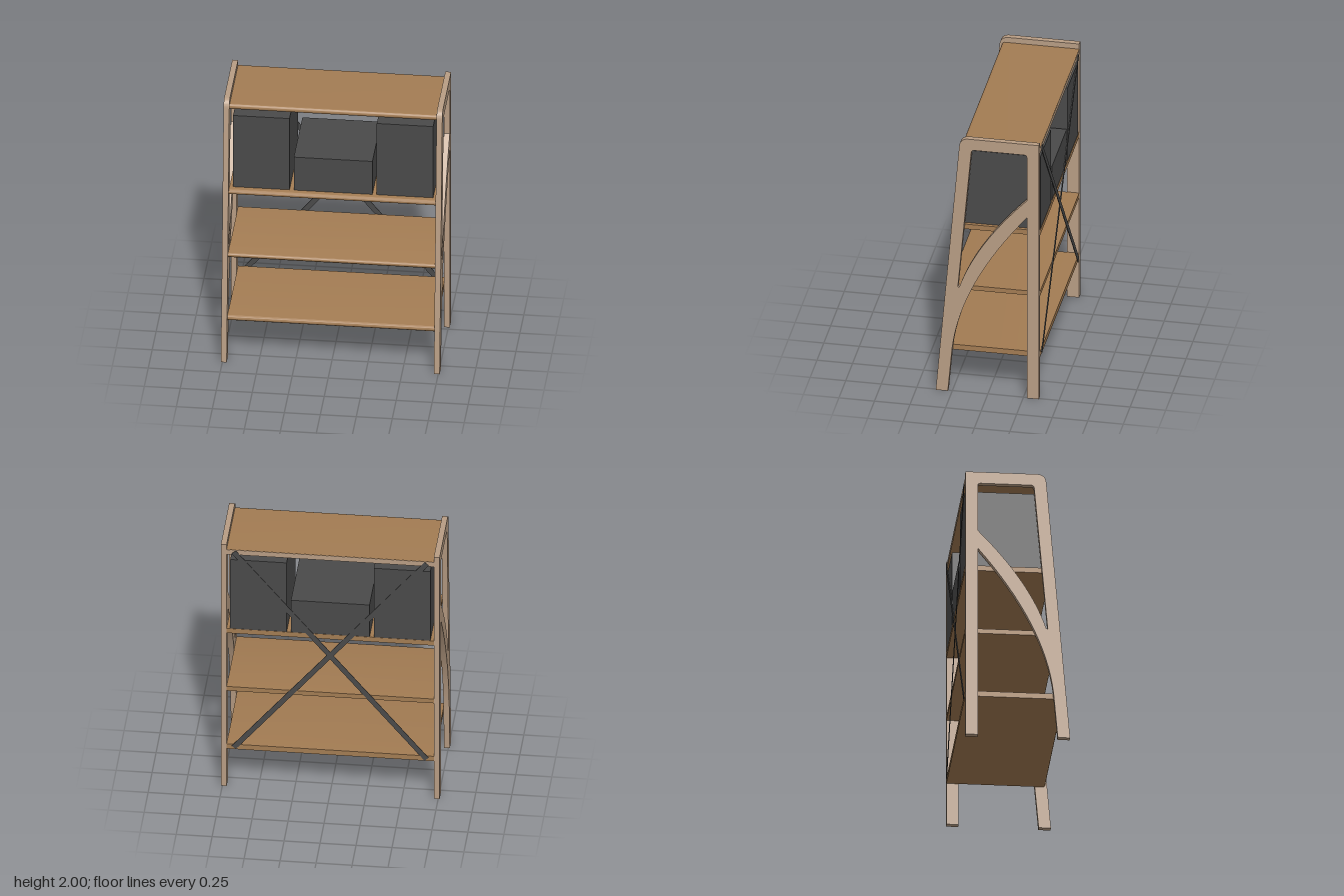
import * as THREE from 'three';
import { toCreasedNormals } from 'three/addons/utils/BufferGeometryUtils.js';

const BACK = -0.36;

export function createModel() {
  const model = new THREE.Group();
  model.name = 'shelfUnit';
  const material = (name, color) => new THREE.MeshStandardMaterial({ name, color });
  const paleWood = material('pale wood', 0xb89d84);
  const shelfWood = material('shelf wood', 0xa37c53);
  const charcoal = material('charcoal', 0x4a4a4a);

  const add = (name, geometry, mat) => {
    const mesh = new THREE.Mesh(geometry, mat);
    mesh.name = name;
    model.add(mesh);
    return mesh;
  };

  // Extrudes a (z, y) profile along x, from xMax down to xMax - width
  const extrudeAlongX = (shape, width, xMax) => {
    const g = new THREE.ExtrudeGeometry(shape, { depth: width, bevelEnabled: false, curveSegments: 16 });
    g.rotateY(-Math.PI / 2).translate(xMax, 0, 0);
    return toCreasedNormals(g, 0.5);
  };

  const box = (x0, x1, y0, y1, z0, z1) =>
    new THREE.BoxGeometry(x1 - x0, y1 - y0, z1 - z0)
      .translate((x0 + x1) / 2, (y0 + y1) / 2, (z0 + z1) / 2);

  // Side frame: leaning front leg, upright back leg and curved brace
  const frame = new THREE.Shape();
  frame.moveTo(0.365, 0);
  frame.lineTo(0.2, 1.94);
  frame.quadraticCurveTo(0.193, 2, 0.135, 2);
  frame.lineTo(BACK, 2);
  frame.lineTo(BACK, 0);
  frame.lineTo(-0.275, 0);
  frame.lineTo(-0.275, 1.42);
  frame.quadraticCurveTo(0.19, 0.86, 0.25, 0.34);
  frame.lineTo(0.28, 0);
  frame.closePath();

  // Opening above the brace
  const opening = new THREE.Path();
  opening.moveTo(0.2, 0.825);
  opening.quadraticCurveTo(0.085, 1.18, -0.275, 1.555);
  opening.lineTo(-0.275, 1.895);
  opening.quadraticCurveTo(-0.275, 1.915, -0.255, 1.915);
  opening.lineTo(0.095, 1.915);
  opening.quadraticCurveTo(0.114, 1.915, 0.116, 1.895);
  opening.lineTo(0.21, 0.825);
  opening.closePath();
  frame.holes.push(opening);

  add('leftSideFrame', extrudeAlongX(frame, 0.04, 0.76), paleWood);
  add('rightSideFrame', extrudeAlongX(frame, 0.04, -0.72), paleWood);

  // Shelves with half-round front edges: [name, bottom, top, front]
  const shelves = [
    ['bottomShelf', 0.31, 0.35, 0.325],
    ['lowerShelf', 0.79, 0.825, 0.282],
    ['middleShelf', 0.0 + 1.268, 1.306, 0.235],
    ['topShelf', 1.92, 1.96, 0.182],
  ];
  for (const [name, y0, y1, front] of shelves) {
    const r = (y1 - y0) / 2;
    const profile = new THREE.Shape();
    profile.moveTo(BACK, y0);
    profile.lineTo(front - r, y0);
    profile.absarc(front - r, y0 + r, r, -Math.PI / 2, Math.PI / 2, false);
    profile.lineTo(BACK, y1);
    profile.closePath();
    add(name, extrudeAlongX(profile, 1.44, 0.72), shelfWood);
  }

  // Thin rail on the back edge of the top shelf
  add('backRail', box(-0.72, 0.72, 1.921, 1.959, -0.362, -0.355), paleWood);

  // Storage boxes
  add('leftBox', box(0.303, 0.695, 1.306, 1.877, -0.358, 0.185), charcoal);
  add('rightBox', box(-0.695, -0.303, 1.306, 1.877, -0.358, 0.185), charcoal);
  add('centreBox', box(-0.273, 0.273, 1.306, 1.57, -0.358, 0.185), charcoal);

  // Crossed braces on the back
  for (const side of [1, -1]) {
    const strip = add(side > 0 ? 'risingBrace' : 'fallingBrace',
      new THREE.BoxGeometry(2.1, 0.038, 0.004), charcoal);
    strip.position.set(0, 1.135, -0.364 - side * 0.0005);
    strip.rotation.z = side * Math.atan2(1.207, 1);
  }
  return model;
}
